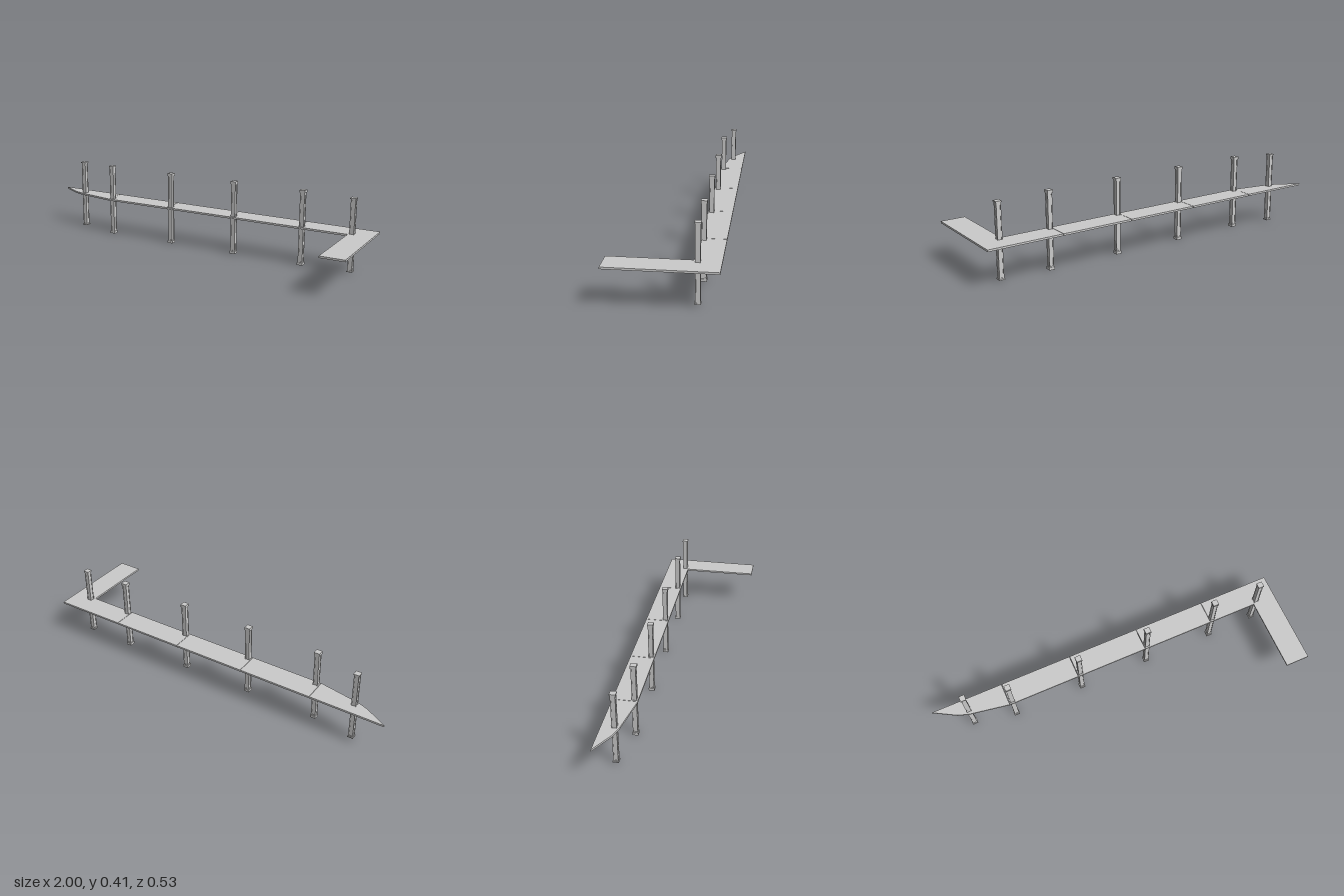
import * as THREE from 'three';

const material = new THREE.MeshStandardMaterial({ color: 0xcccccc, flatShading: true });

function box(parent, name, w, h, d, x, y, z) {
  const mesh = new THREE.Mesh(new THREE.BoxGeometry(w, h, d), material);
  mesh.name = name;
  mesh.position.set(x, y, z);
  parent.add(mesh);
}

// Flat slab from an outline of [x, z] corners
function slab(name, outline) {
  const shape = new THREE.Shape(outline.map(([x, z]) => new THREE.Vector2(x, -z)));
  const geometry = new THREE.ExtrudeGeometry(shape, { depth: 0.01, bevelEnabled: false });
  geometry.rotateX(-Math.PI / 2);
  const mesh = new THREE.Mesh(geometry, material);
  mesh.name = name;
  mesh.position.y = 0.2;
  return mesh;
}

// Square column with a recessed panel on each side and a plate at each end
function column(x, z, hasEndBlocks) {
  const group = new THREE.Group();
  group.name = 'column';
  const width = 0.025, frame = 0.004, mid = 0.204;
  const low = 0.013, high = 0.396;
  box(group, 'columnCore', 0.021, high - low, 0.021, 0, mid, 0);
  const offset = (width - frame) / 2;
  for (const sx of [-1, 1]) for (const sz of [-1, 1])
    box(group, 'cornerPost', frame, high - low, frame, sx * offset, mid, sz * offset);
  for (const s of [-1, 1]) {
    box(group, 'panelRail', width, 0.007, width, 0, mid + s * 0.188, 0);
    box(group, 'endPlate', 0.031, 0.006, 0.031, 0, mid + s * 0.193, 0);
    if (hasEndBlocks) box(group, 'endBlock', 0.031, 0.012, 0.031, 0, mid + s * 0.198, 0);
  }
  group.position.set(x, 0, z);
  return group;
}

export function createModel() {
  const model = new THREE.Group();
  const back = -0.265, front = -0.138, gap = 0.001;
  const seams = [-0.6, -0.2, 0.2, 0.6];

  // Tapered end of the deck
  model.add(slab('taperedDeck', [
    [-1, back], [seams[0] - gap, back], [seams[0] - gap, front], [-0.82, -0.176], [-0.88, -0.196],
  ]));

  // Straight deck sections
  for (let i = 0; i < 3; i++) {
    const a = seams[i] + gap, b = seams[i + 1] - gap;
    model.add(slab('deckSection', [[a, back], [b, back], [b, front], [a, front]]));
  }

  // Corner section with the forward wing
  model.add(slab('cornerDeck', [
    [seams[3] + gap, back], [1, back], [1, 0.265], [0.87, 0.265], [0.87, front], [seams[3] + gap, front],
  ]));

  // Columns passing through the deck
  model.add(column(-0.814, -0.2, false));
  for (const x of [-0.581, -0.182, 0.216, 0.615]) model.add(column(x, -0.157, true));
  model.add(column(0.888, -0.157, false));
  return model;
}
